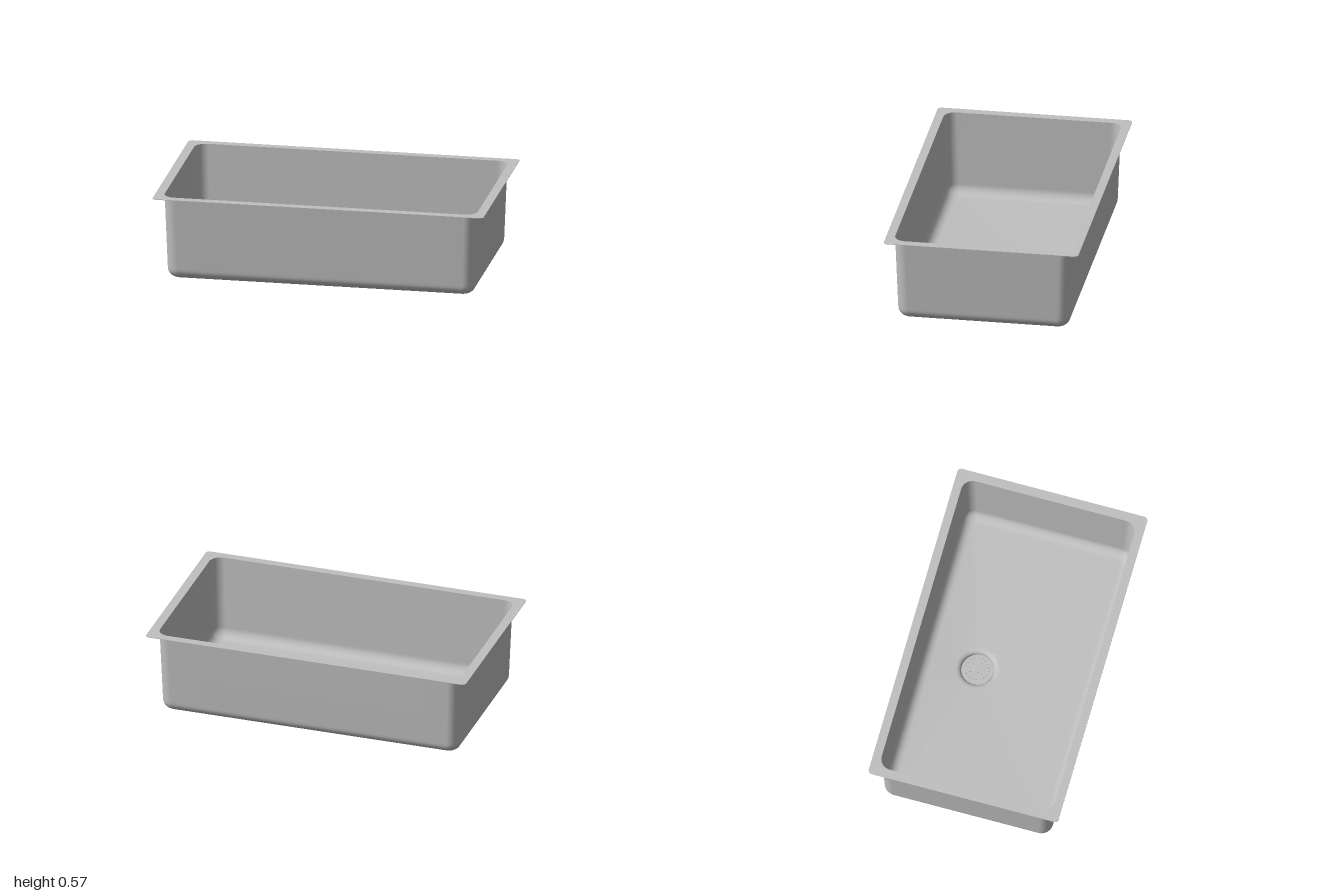
import * as THREE from 'three';

const TOP = 0.572, DRAIN_Z = -0.187, FLARE_R = 0.132;

// Points of a rounded rectangle, in order of rising angle
function roundedRect(hx, hz, r, side = 10, arc = 10) {
  const pts = [];
  const corners = [[1, 1], [-1, 1], [-1, -1], [1, -1]];
  corners.forEach(([sx, sz], q) => {
    for (let i = 0; i <= arc; i++) {
      const a = (q + i / arc) * Math.PI / 2;
      pts.push(new THREE.Vector2(sx * (hx - r) + r * Math.cos(a), sz * (hz - r) + r * Math.sin(a)));
    }
    // straight run to the next corner
    const [nx, nz] = corners[(q + 1) % 4];
    const a = (q + 1) * Math.PI / 2;
    const end = new THREE.Vector2(nx * (hx - r) + r * Math.cos(a), nz * (hz - r) + r * Math.sin(a));
    const start = pts[pts.length - 1];
    for (let i = 1; i < side; i++) pts.push(start.clone().lerp(end, i / side));
  });
  return pts;
}

// Skin through rings with equal point counts; each ring is a list of Vector3
function loft(rings) {
  const n = rings[0].length, pos = [], idx = [];
  rings.forEach(ring => ring.forEach(p => pos.push(p.x, p.y, p.z)));
  for (let k = 0; k < rings.length - 1; k++) {
    for (let i = 0; i < n; i++) {
      const j = (i + 1) % n, a = k * n + i, b = k * n + j, c = a + n, d = b + n;
      idx.push(a, b, c, b, d, c);
    }
  }
  const g = new THREE.BufferGeometry();
  g.setAttribute('position', new THREE.Float32BufferAttribute(pos, 3));
  g.setIndex(idx);
  g.computeVertexNormals();
  return g;
}

const lift = (pts, y) => pts.map(p => new THREE.Vector3(p.x, y, p.y));

function basinGeometry() {
  const R = 0.062, floorY = 0.056;
  const rings = [];
  // tapering walls
  for (const t of [0, 0.5, 0.97]) {
    const y = TOP - 0.002 - t * (TOP - floorY - R);
    rings.push(lift(roundedRect(0.945 - 0.016 * t, 0.533 - 0.016 * t, 0.07), y));
  }
  // rounded foot of the walls
  for (let i = 0; i <= 10; i++) {
    const a = i / 10 * Math.PI / 2, inset = R * (1 - Math.cos(a));
    rings.push(lift(roundedRect(0.929 - inset, 0.517 - inset, 0.07 - inset * 0.8), floorY + R * (1 - Math.sin(a))));
  }
  // floor falling to the drain circle
  const edge = rings[rings.length - 1];
  const circle = edge.map(p => {
    const a = Math.atan2(p.z - DRAIN_Z, p.x);
    return new THREE.Vector3(FLARE_R * Math.cos(a), 0.04, DRAIN_Z + FLARE_R * Math.sin(a));
  });
  for (const t of [0.04, 0.35, 0.7, 1]) {
    rings.push(edge.map((p, i) => p.clone().lerp(circle[i], t)));
  }
  return loft(rings);
}

// Flat perforated plate of the strainer
function strainerGeometry() {
  const plate = new THREE.Shape().absarc(0, 0, 0.096, 0, Math.PI * 2);
  const ring = (count, radius, size) => {
    for (let i = 0; i < count; i++) {
      const a = (i + 0.5) / count * Math.PI * 2;
      plate.holes.push(new THREE.Path().absarc(radius * Math.cos(a), radius * Math.sin(a), size, 0, Math.PI * 2, true));
    }
  };
  ring(18, 0.07, 0.008);
  ring(10, 0.043, 0.007);
  const g = new THREE.ExtrudeGeometry(plate, { depth: 0.004, bevelEnabled: false, curveSegments: 16 });
  return g.rotateX(-Math.PI / 2);
}

export function createModel() {
  const model = new THREE.Group();
  model.name = 'sink';
  const steel = new THREE.MeshStandardMaterial({ color: 0xc0c0c0, side: THREE.DoubleSide });
  steel.name = 'brushed steel grey';

  const add = (name, geometry, y = 0, z = 0) => {
    const mesh = new THREE.Mesh(geometry, steel);
    mesh.name = name;
    mesh.position.set(0, y, z);
    model.add(mesh);
  };

  // Thin mounting flange around the opening
  const flange = new THREE.Shape(roundedRect(1, 0.585, 0.025));
  flange.holes.push(new THREE.Path(roundedRect(0.945, 0.533, 0.07).reverse()));
  add('rim', new THREE.ExtrudeGeometry(flange, { depth: 0.003, bevelEnabled: false }).rotateX(-Math.PI / 2), TOP - 0.003);

  add('basin', basinGeometry());

  // Flared drain neck
  const neck = [];
  for (let i = 0; i <= 8; i++) {
    const a = i / 8 * Math.PI / 2;
    neck.push(new THREE.Vector2(FLARE_R - 0.034 * Math.sin(a), 0.04 - 0.026 * (1 - Math.cos(a))));
  }
  neck.push(new THREE.Vector2(0.098, 0.007), new THREE.Vector2(0.098, 0));
  add('drainNeck', new THREE.LatheGeometry(neck, 64), 0, DRAIN_Z);
  add('drainBase', new THREE.CircleGeometry(0.098, 64).rotateX(Math.PI / 2), 0, DRAIN_Z);

  // Strainer plate with its centre knob
  add('strainer', strainerGeometry(), 0.006, DRAIN_Z);
  add('strainerKnob', new THREE.CylinderGeometry(0.018, 0.018, 0.006, 32), 0.012, DRAIN_Z);
  add('strainerPin', new THREE.CylinderGeometry(0.008, 0.008, 0.004, 24), 0.016, DRAIN_Z);

  return model;
}
